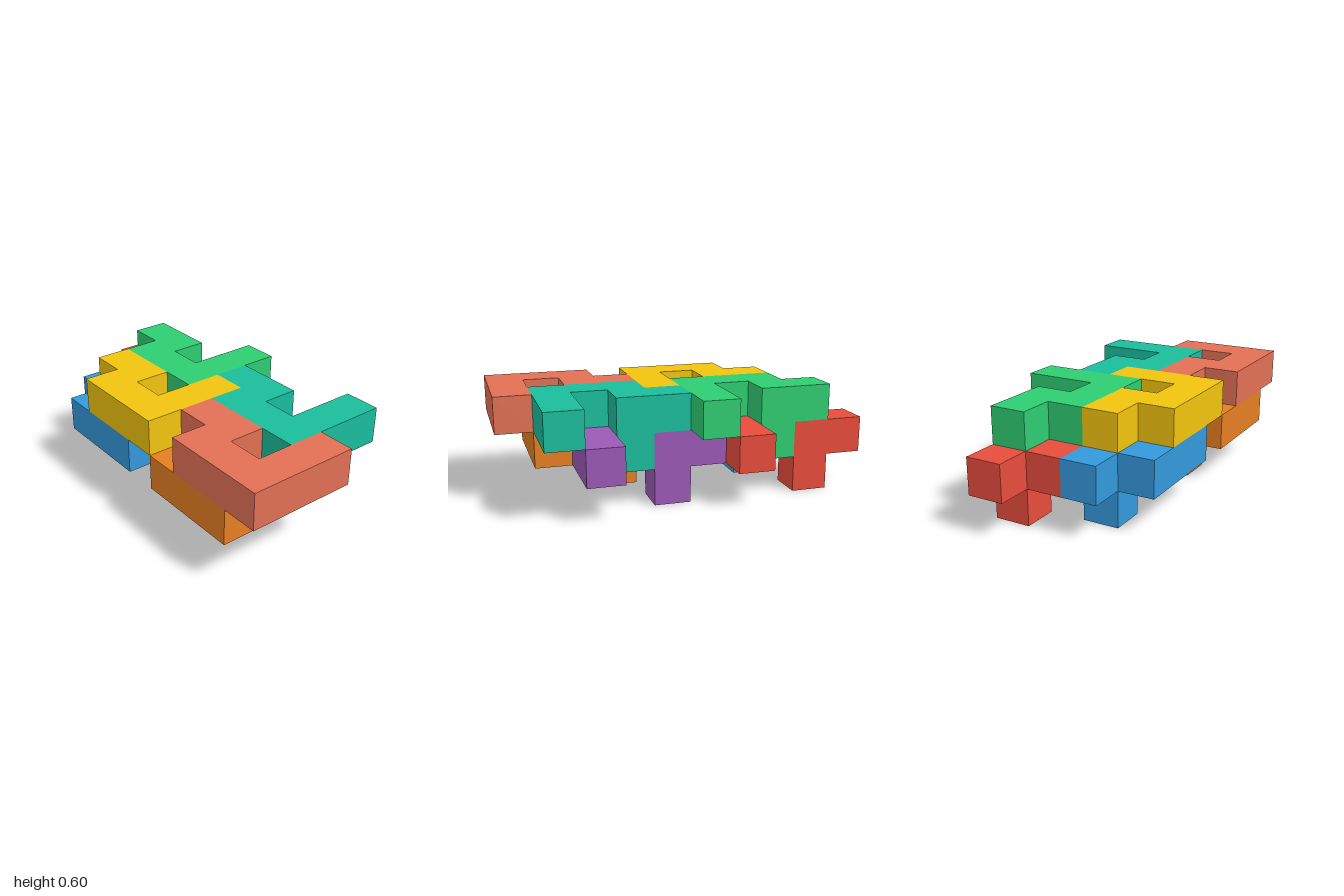
import * as THREE from 'three';

const CELL = 0.2;

// Outline of the seven-cell flat plate, in cells (x, z)
const OUTLINE = [[0, 1], [2, 1], [2, 2], [3, 2], [3, 0], [4, 0], [4, 3], [1, 3], [1, 2], [0, 2]];

// Name, colour, first column, first row, layer of the plate
const PIECES = [
  ['redPiece', 0xe74c3c, 0, 0, 1],
  ['bluePiece', 0x3498db, 1, 2, 1],
  ['purplePiece', 0x9b59b6, 4, 0, 1],
  ['orangePiece', 0xe67e22, 5, 2, 1],
  ['greenPiece', 0x2ecc71, 1, 0, 2],
  ['yellowPiece', 0xf1c40f, 2, 2, 2],
  ['tealPiece', 0x1abc9c, 5, 0, 2],
  ['coralPiece', 0xe17055, 6, 2, 2],
];

// One puzzle piece: a flat plate with a single cube peg underneath
function makePiece(name, color) {
  const piece = new THREE.Group();
  piece.name = name;
  const material = new THREE.MeshStandardMaterial({ color });

  const shape = new THREE.Shape(OUTLINE.map(([x, z]) => new THREE.Vector2(x * CELL, z * CELL)));
  const plateGeometry = new THREE.ExtrudeGeometry(shape, { depth: CELL, bevelEnabled: false });
  plateGeometry.rotateX(Math.PI / 2).translate(0, CELL, 0);
  const plate = new THREE.Mesh(plateGeometry, material);
  plate.name = 'plate';

  const peg = new THREE.Mesh(new THREE.BoxGeometry(CELL, CELL, CELL), material);
  peg.name = 'peg';
  peg.position.set(1.5 * CELL, -0.5 * CELL, 1.5 * CELL);

  piece.add(plate, peg);
  return piece;
}

export function createModel() {
  const model = new THREE.Group();
  model.name = 'interlockingCubePieces';
  for (const [name, color, column, row, layer] of PIECES) {
    const piece = makePiece(name, color);
    piece.position.set(-1 + column * CELL, layer * CELL, -0.5 + row * CELL);
    model.add(piece);
  }
  return model;
}
